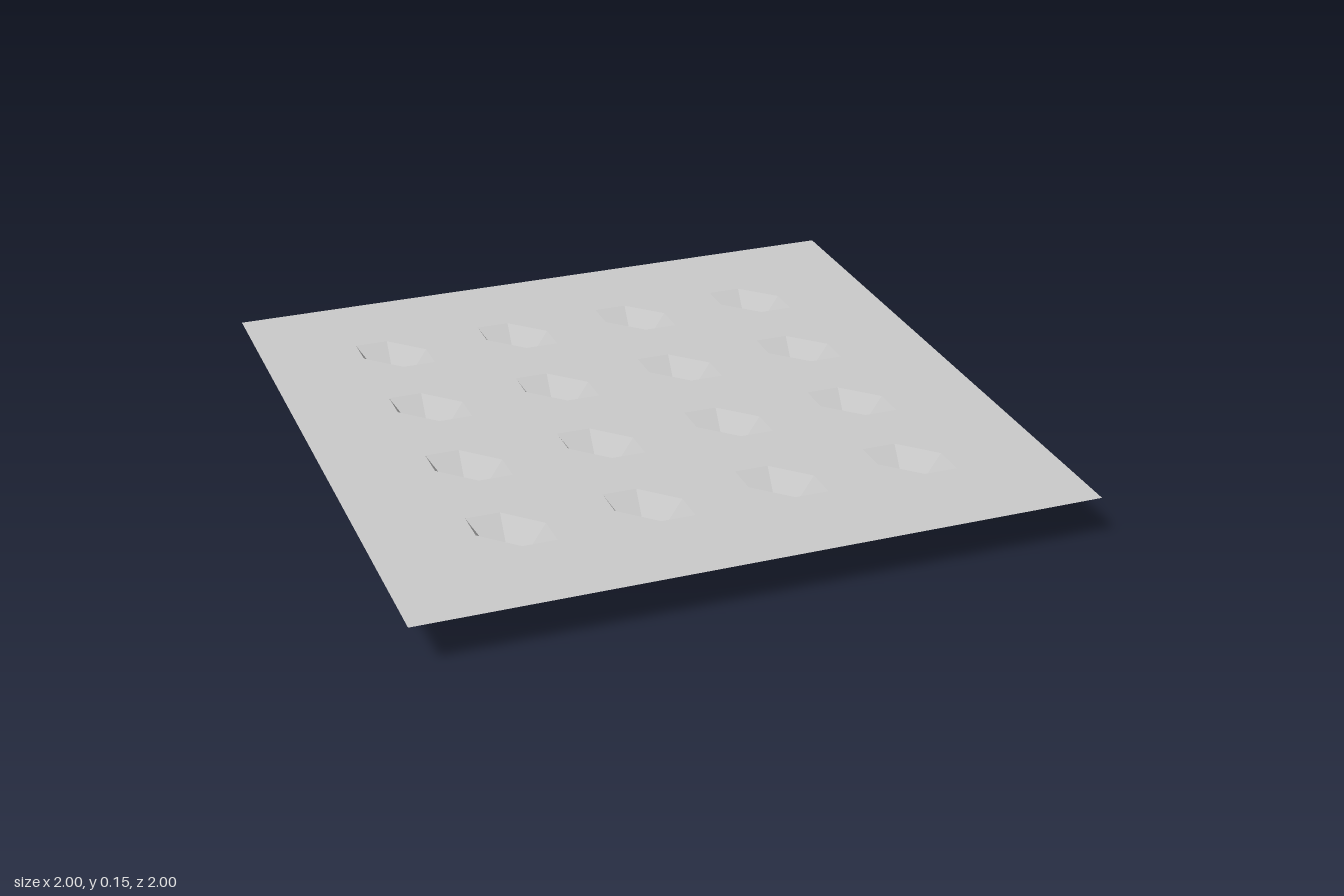
import * as THREE from 'three';

const SIZE = 2;
const CELLS = 20;
const DEPTH = 0.15;
const PIT_ROWS = [-0.6, -0.2, 0.2, 0.6];

const onPitRow = (v) => PIT_ROWS.some((p) => Math.abs(v - p) < 0.01);

export function createModel() {
  const group = new THREE.Group();
  group.name = 'dimpledSheet';

  // Flat grid; the quarter turn sets which way the cell diagonals run
  const geometry = new THREE.PlaneGeometry(SIZE, SIZE, CELLS, CELLS);
  geometry.rotateX(-Math.PI / 2);
  geometry.rotateY(Math.PI / 2);

  // Push single grid points down to form the six-sided pits
  const pos = geometry.attributes.position;
  for (let i = 0; i < pos.count; i++) {
    const isPit = onPitRow(pos.getX(i)) && onPitRow(pos.getZ(i));
    pos.setY(i, isPit ? 0 : DEPTH);
  }
  geometry.computeVertexNormals();

  const material = new THREE.MeshStandardMaterial({
    color: 0xcccccc,
    flatShading: true,
    side: THREE.DoubleSide,
  });
  const sheet = new THREE.Mesh(geometry, material);
  sheet.name = 'sheetWithPits';
  group.add(sheet);
  return group;
}
